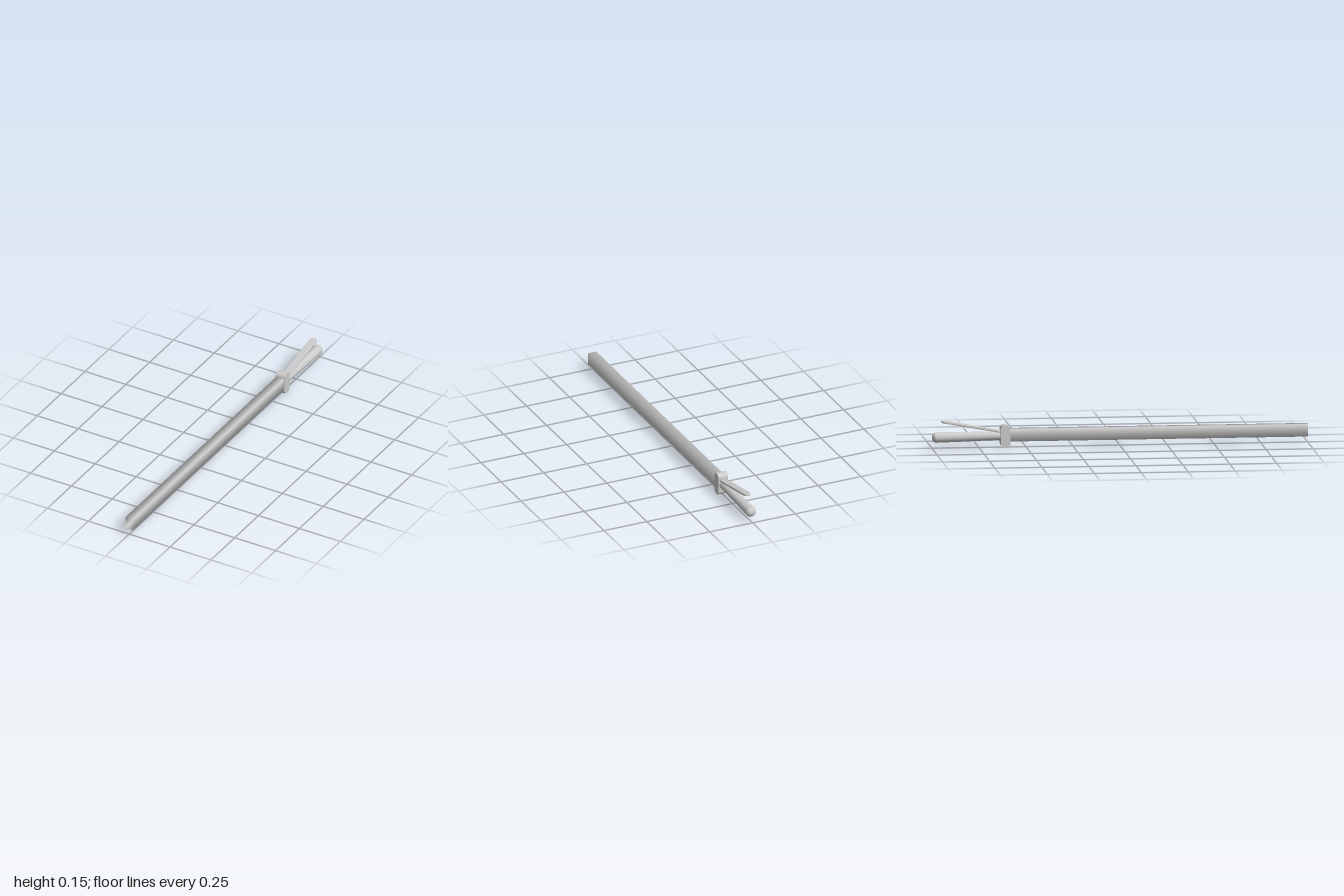
import * as THREE from 'three';

const material = new THREE.MeshStandardMaterial({ color: 0xcccccc, side: THREE.DoubleSide });

function part(name, geometry) {
  const mesh = new THREE.Mesh(geometry, material);
  mesh.name = name;
  return mesh;
}

// Rounded rectangle centred on the origin
function roundedRect(w, h, r) {
  const s = new THREE.Shape();
  const x = w / 2 - r, y = h / 2 - r;
  s.absarc(x, y, r, 0, Math.PI / 2);
  s.absarc(-x, y, r, Math.PI / 2, Math.PI);
  s.absarc(-x, -y, r, Math.PI, Math.PI * 1.5);
  s.absarc(x, -y, r, Math.PI * 1.5, Math.PI * 2);
  s.closePath();
  return s;
}

export function createModel() {
  const group = new THREE.Group();
  group.name = 'rod';

  // Long hollow square tube, open at the front, softly shaded across its edges
  const tube = new THREE.CylinderGeometry(Math.SQRT1_2, Math.SQRT1_2, 1.6, 4, 1, true);
  tube.rotateY(Math.PI / 4).rotateX(Math.PI / 2).scale(0.047, 0.066, 1);
  tube.translate(0, 0.065, 0.2);
  group.add(part('shaft', tube));

  // Collar: rounded in side profile, flat on its left and right faces
  const collar = new THREE.ExtrudeGeometry(roundedRect(0.052, 0.12, 0.022), {
    depth: 0.056, bevelEnabled: false, curveSegments: 8,
  });
  collar.translate(0, 0, -0.028).rotateY(Math.PI / 2).translate(0, 0.06, -0.61);
  group.add(part('collar', collar));

  // Handle: round bar that swells slightly towards a domed end
  const profile = [[0.0225, 0], [0.0235, 0.08], [0.026, 0.2], [0.028, 0.355]];
  for (let i = 1; i <= 8; i++) {
    const a = (i / 8) * Math.PI / 2;
    profile.push([0.008 * (1 - i / 8) + 0.02 * Math.cos(a), 0.355 + 0.02 * Math.sin(a)]);
  }
  const handle = new THREE.LatheGeometry(profile.map(([r, y]) => new THREE.Vector2(Math.max(r, 0), y)), 24);
  handle.rotateX(-Math.PI / 2 - 0.012).translate(0, 0.061, -0.625);
  group.add(part('handle', handle));

  // Thin lever with rounded ends, rising away from the handle
  const length = 0.335;
  const lever = new THREE.ExtrudeGeometry(roundedRect(0.032, length - 0.008, 0.0158), {
    depth: 0.005, bevelThickness: 0.004, bevelSize: 0.004, bevelSegments: 3, curveSegments: 8,
  });
  lever.translate(0, length / 2, -0.0025).rotateX(-Math.PI / 2 + 0.18);
  lever.translate(0, 0.082, -0.62);
  group.add(part('lever', lever));

  return group;
}
